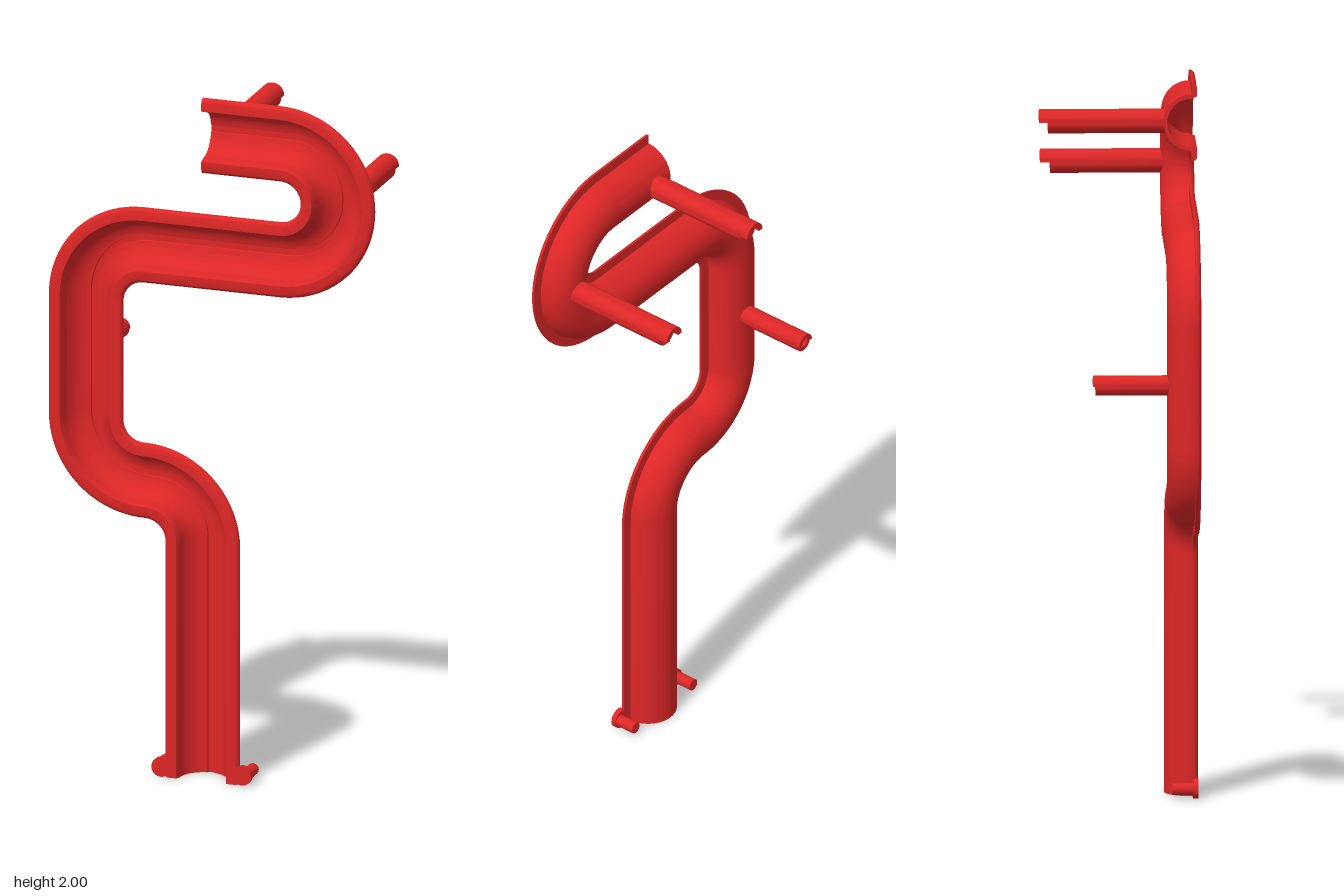
import * as THREE from 'three';
import { toCreasedNormals } from 'three/addons/utils/BufferGeometryUtils.js';

const RED = new THREE.MeshStandardMaterial({ color: 0xdc2626 });

function add(parent, name, geometry, x = 0, y = 0, z = 0) {
  const mesh = new THREE.Mesh(geometry, RED);
  mesh.name = name;
  mesh.position.set(x, y, z);
  parent.add(mesh);
  return mesh;
}

// Centre line: straights joined by arcs, as points with a direction
function channelPath() {
  const path = [];
  const point = (x, y, angle) =>
    path.push({ x, y, tx: Math.cos(angle), ty: Math.sin(angle) });
  const arc = (cx, cy, from, to, steps) => {
    const turn = Math.sign(to - from);
    for (let i = 0; i <= steps; i++) {
      const a = from + ((to - from) * i) / steps;
      point(cx + 0.17 * Math.cos(a), cy + 0.17 * Math.sin(a), a + (turn * Math.PI) / 2);
    }
  };
  const q = Math.PI / 2;
  point(-0.03, 1.89, 0);
  arc(0.2, 1.72, q, -q, 36);
  arc(-0.205, 1.38, q, 2 * q, 18);
  arc(-0.205, 1.03, 2 * q, 3 * q, 18);
  arc(-0.2, 0.69, q, 0, 18);
  point(-0.03, 0, -q);
  return path;
}

// Cross-section (across, z): half pipe open to the front with rounded rims
function channelProfile() {
  const pts = [];
  const z0 = 0.205;
  for (let i = 0; i <= 24; i++) {
    const a = Math.PI + (Math.PI * i) / 24;
    pts.push([0.08 * Math.cos(a), z0 + 0.078 * Math.sin(a)]);
  }
  for (let i = 0; i <= 5; i++) {
    const a = (Math.PI / 2) * (i / 5);
    pts.push([0.095 + 0.015 * Math.cos(a), z0 + 0.015 * Math.sin(a)]);
  }
  pts.push([0.074, 0.22]);
  const inner = (a) => [0.068 * Math.cos(a), z0 + 0.068 * Math.sin(a)];
  const half = Math.PI / 2 - 0.15;
  for (let i = 0; i <= 11; i++) pts.push(inner((-half * i) / 11));
  // narrow groove along the floor
  pts.push([0.009, 0.1325], [-0.009, 0.1325]);
  for (let i = 11; i >= 0; i--) pts.push(inner(-Math.PI + (half * i) / 11));
  pts.push([-0.074, 0.22]);
  for (let i = 0; i <= 5; i++) {
    const a = (Math.PI / 2) * (1 + i / 5);
    pts.push([-0.095 + 0.015 * Math.cos(a), z0 + 0.015 * Math.sin(a)]);
  }
  return pts;
}

// Sweeps the profile along the path and caps both ends
function sweep(profile, path) {
  const pos = [], index = [], n = profile.length;
  for (const p of path)
    for (const [s, z] of profile) pos.push(p.x - p.ty * s, p.y + p.tx * s, z);
  for (let i = 0; i < path.length - 1; i++)
    for (let j = 0; j < n; j++) {
      const k = (j + 1) % n;
      const a = i * n + j, b = i * n + k;
      index.push(a, b, b + n, a, b + n, a + n);
    }
  const last = (path.length - 1) * n;
  const contour = profile.map(([s, z]) => new THREE.Vector2(s, z));
  for (const [a, b, c] of THREE.ShapeUtils.triangulateShape(contour, []))
    index.push(a, c, b, last + a, last + b, last + c);
  const g = new THREE.BufferGeometry();
  g.setAttribute('position', new THREE.Float32BufferAttribute(pos, 3));
  g.setIndex(index);
  return toCreasedNormals(g, 0.5);
}

// Hollow-ended peg pointing back, with a longer upper half at its tip
function peg(parent, name, x, y, r, zLow, zTip) {
  const group = new THREE.Group();
  group.name = name;
  const len = 0.134 - zLow, hole = r * 0.55;
  const profile = [[0, 0], [r, 0], [r, len], [hole, len], [hole, len - 0.05], [0, len - 0.05]]
    .map(([a, b]) => new THREE.Vector2(a, b));
  const tube = toCreasedNormals(new THREE.LatheGeometry(profile, 32), 0.5);
  add(group, 'pegTube', tube.rotateX(-Math.PI / 2), x, y, 0.134);
  const ring = new THREE.Shape();
  ring.absarc(0, 0, r, 0, Math.PI, false);
  ring.absarc(0, 0, hole, Math.PI, 0, true);
  const tip = new THREE.ExtrudeGeometry(ring, {
    depth: zLow - zTip, bevelEnabled: false, curveSegments: 16,
  });
  add(group, 'pegTip', toCreasedNormals(tip, 0.5), x, y, zTip);
  parent.add(group);
}

export function createModel() {
  const model = new THREE.Group();
  model.name = 'trackSection';

  add(model, 'channel', sweep(channelProfile(), channelPath()));

  // Mounting pegs on the back
  peg(model, 'topPeg', 0.026, 1.887, 0.034, -0.195, -0.22);
  peg(model, 'bendPeg', 0.37, 1.72, 0.034, -0.18, -0.208);
  peg(model, 'lowerPeg', -0.374, 1.204, 0.028, -0.073, -0.08);

  // Rounded connector tabs with small pins beside the outlet
  for (const side of [-1, 1]) {
    const tab = new THREE.Group();
    tab.name = side > 0 ? 'leftConnector' : 'rightConnector';
    const x = -0.03 + side * 0.12;
    const disc = new THREE.CylinderGeometry(0.028, 0.028, 0.0148, 28).rotateX(Math.PI / 2);
    add(tab, 'connectorTab', disc, x, 0.028, 0.2125);
    const pin = new THREE.CylinderGeometry(0.017, 0.017, 0.06, 24).rotateX(Math.PI / 2);
    add(tab, 'connectorPin', pin, x + side * 0.008, 0.028, 0.178);
    model.add(tab);
  }
  return model;
}
